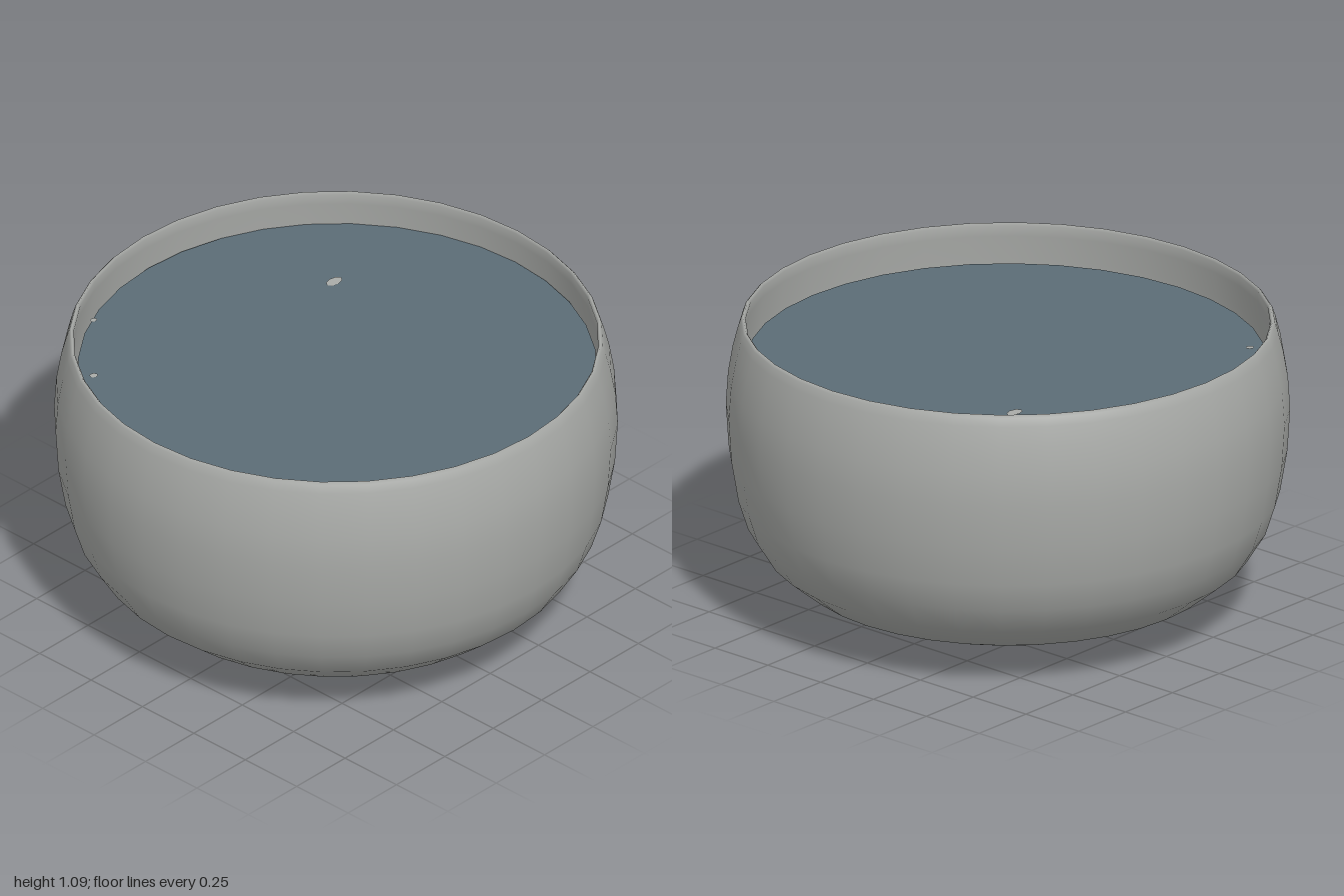
import * as THREE from 'three';

export function createModel() {
  const model = new THREE.Group();
  const bowlMat = new THREE.MeshStandardMaterial({ color: 0xa9aba8 });
  bowlMat.name = 'stone grey';
  const liquidMat = new THREE.MeshStandardMaterial({ color: 0x5b6c76 });
  liquidMat.name = 'slate blue';

  const add = (name, geometry, material, x = 0, y = 0, z = 0) => {
    const mesh = new THREE.Mesh(geometry, material);
    mesh.name = name;
    mesh.position.set(x, y, z);
    model.add(mesh);
    return mesh;
  };

  // Bowl: outer wall from the base up, over the thin lip, then down the inner wall
  const profile = [
    [0, 0], [0.3, 0.02], [0.56, 0.065], [0.75, 0.14], [0.865, 0.235],
    [0.93, 0.34], [0.965, 0.45], [0.99, 0.6], [1, 0.76], [0.992, 0.88],
    [0.975, 0.98], [0.957, 1.05], [0.947, 1.08], [0.938, 1.09], [0.93, 1.08],
    [0.933, 1.04], [0.942, 0.95], [0.955, 0.76], [0.93, 0.52], [0.87, 0.33],
    [0.72, 0.2], [0.5, 0.12], [0, 0.06],
  ].map(([r, y]) => new THREE.Vector2(r, y));
  add('bowl', new THREE.LatheGeometry(profile, 36), bowlMat);

  // Liquid surface, set slightly off centre inside the bowl
  const disc = new THREE.CircleGeometry(0.92, 36).rotateX(-Math.PI / 2);
  add('liquid', disc, liquidMat, -0.012, 0.95, -0.02);

  // Small pale flecks lying on the liquid: x, z, half width, half length
  const flecks = [
    [-0.39, -0.405, 0.022, 0.036],
    [-0.595, 0.62, 0.014, 0.016],
    [-0.84, 0.36, 0.011, 0.014],
  ];
  for (const [x, z, w, l] of flecks) {
    const fleck = new THREE.CircleGeometry(1, 8).rotateX(-Math.PI / 2).scale(w, 1, l);
    add('fleck', fleck, bowlMat, x, 0.954, z);
  }

  return model;
}
